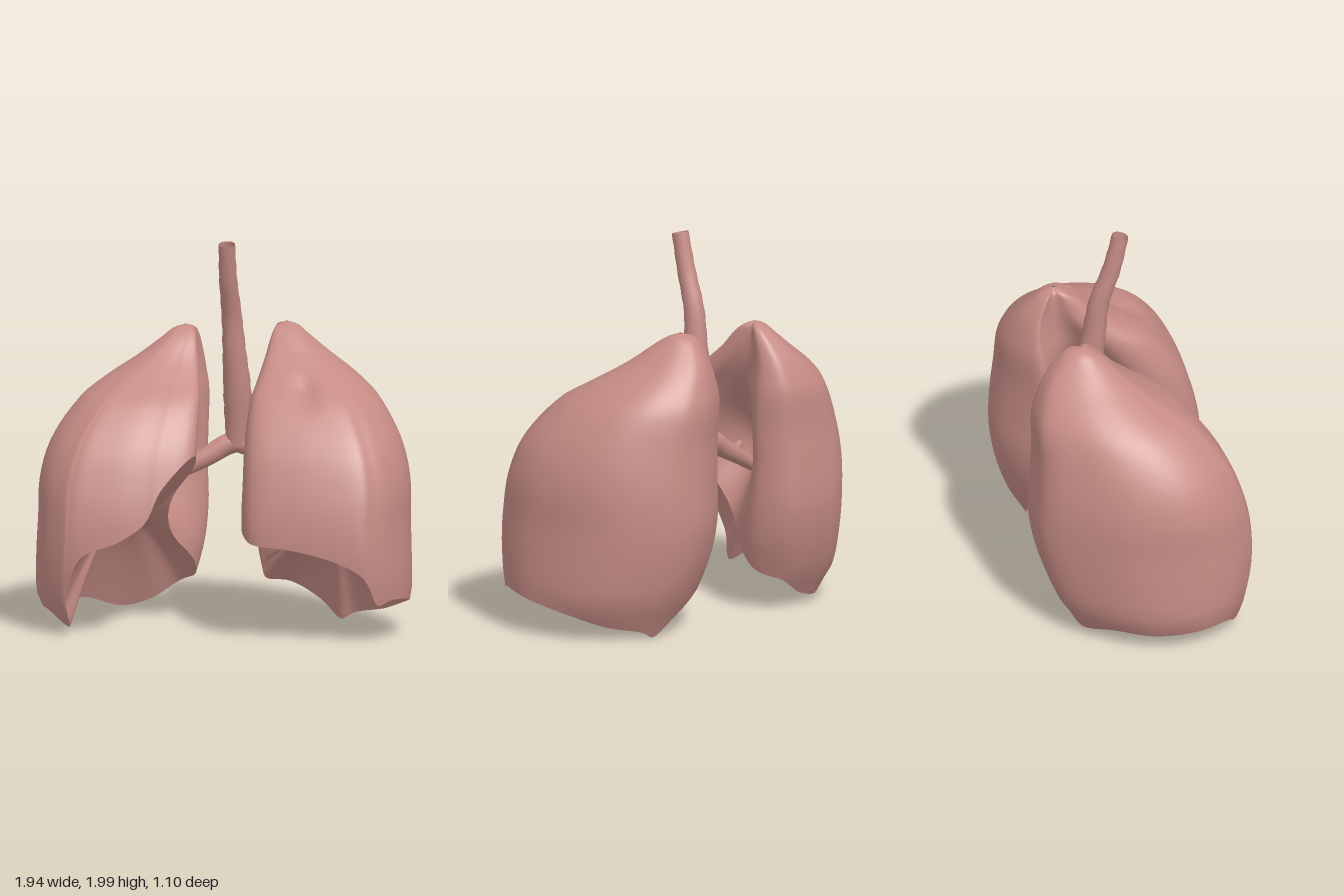
import * as THREE from 'three';

const tissue = new THREE.MeshStandardMaterial({ color: 0xc68c85, side: THREE.DoubleSide });
tissue.name = 'rosy tissue';

// Lung envelope by height: y, medial x, lateral x, back z, front z
const ENVELOPE = [
  [0, .28, .85, -.33, .46], [.1, .23, .92, -.38, .48], [.2, .2, .965, -.44, .5],
  [.4, .15, .968, -.51, .54], [.6, .13, .96, -.545, .54], [.8, .13, .955, -.54, .5],
  [1, .13, .9, -.525, .42], [1.2, .14, .77, -.52, .26], [1.3, .16, .65, -.49, .11],
  [1.4, .18, .5, -.44, -.03], [1.5, .2, .37, -.36, -.14], [1.54, .22, .32, -.31, -.2],
  [1.555, .26, .27, -.26, -.24],
];

// Horizontal outline and height of the lower rim: distance from midline, z, rim y
const RIGHT_RIM = [
  [.97, .17, .12], [.93, -.1, .1], [.8, -.33, .1], [.6, -.53, .04], [.4, -.55, .08],
  [.25, -.52, .17], [.16, -.38, .22], [.17, -.26, .3], [.25, -.08, .45], [.22, .06, .6],
  [.14, .2, .8], [.13, .38, .93], [.28, .47, .77], [.36, .49, .6], [.5, .52, .5],
  [.68, .53, .42], [.75, .52, .2], [.79, .5, .05], [.9, .38, .12],
];
const LEFT_RIM = [
  [.97, .17, .2], [.92, -.15, .14], [.8, -.35, .08], [.6, -.5, .04], [.5, -.53, .005],
  [.36, -.52, .1], [.2, -.44, .19], [.08, -.33, .22], [.13, -.24, .33], [.22, -.1, .4],
  [.22, .02, .45], [.13, .2, .5], [.13, .38, .55], [.2, .5, .51], [.42, .54, .49],
  [.65, .54, .43], [.78, .52, .35], [.84, .47, .2], [.9, .4, .22],
];

// Smooth (Hermite) lookup of the envelope at a height
function envelopeAt(y) {
  const last = ENVELOPE.length - 1;
  y = THREE.MathUtils.clamp(y, 0, ENVELOPE[last][0]);
  let k = 0;
  while (k < last - 1 && y > ENVELOPE[k + 1][0]) k++;
  const slope = (n, c) => {
    const a = ENVELOPE[Math.max(n - 1, 0)], b = ENVELOPE[Math.min(n + 1, last)];
    return (b[c] - a[c]) / (b[0] - a[0]);
  };
  const p = ENVELOPE[k], q = ENVELOPE[k + 1], h = q[0] - p[0], t = (y - p[0]) / h;
  const t2 = t * t, t3 = t2 * t;
  return [1, 2, 3, 4].map((c) =>
    (2 * t3 - 3 * t2 + 1) * p[c] + (t3 - 2 * t2 + t) * h * slope(k, c) +
    (3 * t2 - 2 * t3) * q[c] + (t3 - t2) * h * slope(k + 1, c));
}

// Grid of rows of points, closed around; flip reverses the winding
function loft(rows, cols, point, flip) {
  const positions = [], index = [];
  for (let j = 0; j <= rows; j++)
    for (let i = 0; i < cols; i++) positions.push(...point(i / cols, j / rows));
  for (let j = 0; j < rows; j++)
    for (let i = 0; i < cols; i++) {
      const a = j * cols + i, b = j * cols + (i + 1) % cols, c = a + cols, d = b + cols;
      if (flip) index.push(a, c, b, b, c, d);
      else index.push(a, b, c, b, d, c);
    }
  const geometry = new THREE.BufferGeometry();
  geometry.setAttribute('position', new THREE.Float32BufferAttribute(positions, 3));
  geometry.setIndex(index);
  geometry.computeVertexNormals();
  return geometry;
}

function addMesh(group, name, geometry) {
  const mesh = new THREE.Mesh(geometry, tissue);
  mesh.name = name;
  group.add(mesh);
}

function makeLung(name, side, rim, top, domeY, dimple) {
  const lung = new THREE.Group();
  lung.name = name;
  const outline = new THREE.CatmullRomCurve3(
    rim.map(([x, z, y]) => new THREE.Vector3(x, y, z)), true);
  const cols = rim.length * 5;

  // Outer wall: columns rise from the rim to the apex
  const wall = (a, t) => {
    const o = outline.getPoint(a);
    const y = THREE.MathUtils.lerp(o.y, top, 1 - Math.pow(1 - t, 1.7));
    const [medial, lateral, back, front] = envelopeAt(y * 1.555 / top);
    let u = (o.x - .13) / .84;
    const v = (o.z + .545) / 1.085;
    // Hollow of the hilum on the inner side
    u += .35 * Math.exp(-(((y - .85) / .3) ** 2) - ((v - .46) / .17) ** 2) * Math.max(0, 1 - u) ** 2;
    const x = THREE.MathUtils.lerp(medial, lateral, u);
    let z = THREE.MathUtils.lerp(back, front, v);
    if (dimple && v > .5) z -= .06 * Math.exp(-((x - .42) ** 2 + (y - 1.25) ** 2) / .003);
    return [side * x, y, z];
  };
  addMesh(lung, name + 'Wall', loft(36, cols, wall, side < 0));

  // Domed hollow underside, from its centre out to the rim
  const base = (a, t) => {
    const [x, y, z] = wall(a, 0), s = 1 - t;
    return [
      THREE.MathUtils.lerp(x, side * .55, s),
      THREE.MathUtils.lerp(y, domeY, Math.sin(s * Math.PI / 2)),
      THREE.MathUtils.lerp(z, 0, s),
    ];
  };
  addMesh(lung, name + 'Base', loft(14, cols, base, side < 0));
  return lung;
}

// Tube along points [x, y, z, radius], with optional ring ripples
function taperedTube(points, segments, ripple = 0) {
  const curve = new THREE.CatmullRomCurve3(points.map((p) => new THREE.Vector3(p[0], p[1], p[2])));
  const radii = new THREE.CatmullRomCurve3(points.map((p) => new THREE.Vector3(p[3], 0, 0)), false, 'catmullrom');
  curve.getPointAt = curve.getPoint;
  curve.getTangentAt = curve.getTangent;
  const sides = 16, geometry = new THREE.TubeGeometry(curve, segments, 1, sides);
  const position = geometry.attributes.position, p = new THREE.Vector3();
  for (let n = 0; n < position.count; n++) {
    const t = Math.floor(n / (sides + 1)) / segments, centre = curve.getPoint(t);
    const r = radii.getPoint(t).x * (1 + ripple * Math.sin(t * 75));
    p.fromBufferAttribute(position, n).sub(centre).multiplyScalar(r).add(centre);
    position.setXYZ(n, p.x, p.y, p.z);
  }
  return geometry;
}

export function createModel() {
  const model = new THREE.Group();
  model.name = 'lungs';
  model.add(makeLung('rightLung', -1, RIGHT_RIM, 1.525, .55, false));
  model.add(makeLung('leftLung', 1, LEFT_RIM, 1.555, .52, true));

  // Windpipe and its branches
  const airway = new THREE.Group();
  airway.name = 'airway';
  addMesh(airway, 'trachea', taperedTube([
    [-.003, 1.99, .03, .043], [-.003, 1.8, -.015, .047], [.005, 1.6, -.08, .053],
    [.015, 1.4, -.105, .062], [.025, 1.2, -.135, .073], [.025, 1.03, -.165, .07],
    [.02, .92, -.18, .06]], 72, .025));
  addMesh(airway, 'rightBronchus', taperedTube([
    [.06, .94, -.18, .05], [-.03, .92, -.17, .055], [-.13, .86, -.15, .05],
    [-.24, .8, -.13, .042], [-.42, .7, -.08, .03]], 24));
  addMesh(airway, 'rightBranch', taperedTube([
    [-.18, .83, -.14, .035], [-.3, .8, -.06, .028], [-.45, .8, .04, .018]], 14));
  addMesh(airway, 'leftBronchus', taperedTube([
    [-.02, .95, -.18, .05], [.06, .92, -.18, .055], [.13, .89, -.2, .045],
    [.22, .86, -.22, .035], [.36, .8, -.22, .025]], 22));
  addMesh(airway, 'leftBranch', taperedTube([
    [.08, .91, -.17, .042], [.16, .88, -.12, .038], [.25, .86, -.06, .03],
    [.38, .82, -.02, .02]], 16));
  model.add(airway);
  return model;
}
